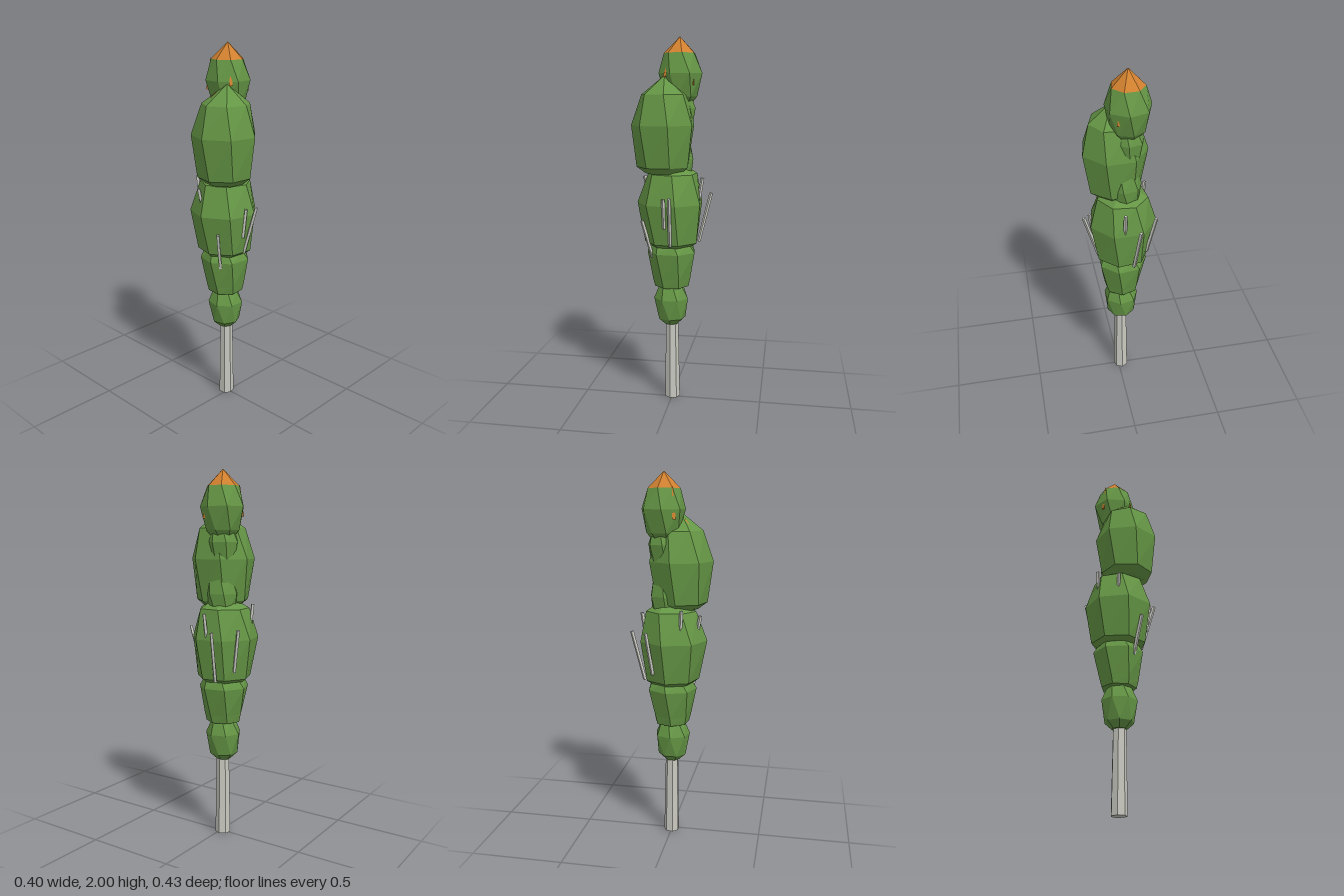
import * as THREE from 'three';

const SIDES = 7;
const mat = (name, color) => {
  const m = new THREE.MeshStandardMaterial({ color, flatShading: true });
  m.name = name;
  return m;
};

// Faceted loft. Each ring: [y, radius, centre x, centre z, start angle in degrees]
function loft(rings) {
  const pos = [];
  const point = ([y, r, cx, cz, deg], i) => {
    const a = THREE.MathUtils.degToRad(deg) + (i / SIDES) * Math.PI * 2;
    return [cx + r * Math.cos(a), y, cz + r * Math.sin(a)];
  };
  for (let k = 0; k < rings.length - 1; k++) {
    const lo = rings[k], up = rings[k + 1];
    for (let i = 0; i < SIDES; i++) {
      const a = point(lo, i), b = point(lo, i + 1), c = point(up, i), d = point(up, i + 1);
      if (lo[1] > 0) pos.push(...a, ...c, ...b);
      if (up[1] > 0) pos.push(...b, ...c, ...d);
    }
  }
  const g = new THREE.BufferGeometry();
  g.setAttribute('position', new THREE.Float32BufferAttribute(pos, 3));
  g.computeVertexNormals();
  return g;
}

// Tapered rod between two points
function rod(from, to, r0, r1, sides) {
  const a = new THREE.Vector3(...from), b = new THREE.Vector3(...to);
  const dir = b.clone().sub(a);
  const g = new THREE.CylinderGeometry(r1, r0, dir.length(), sides);
  g.applyQuaternion(new THREE.Quaternion().setFromUnitVectors(new THREE.Vector3(0, 1, 0), dir.normalize()));
  g.translate(...a.add(b).multiplyScalar(0.5).toArray());
  return g;
}

export function createModel() {
  const tree = new THREE.Group();
  tree.name = 'columnTree';
  const green = mat('leafGreen', 0x659645);
  const orange = mat('autumnOrange', 0xd0802f);
  const grey = mat('barkGrey', 0xc9c9c1);
  const add = (name, geometry, material) => {
    const mesh = new THREE.Mesh(geometry, material);
    mesh.name = name;
    tree.add(mesh);
  };

  // Trunk
  add('trunk', loft([
    [0, 0, -0.015, 0, 10], [0, 0.043, -0.015, 0, 10],
    [0.5, 0.035, -0.013, 0.002, 10], [0.5, 0, -0.013, 0.002, 10],
  ]), grey);

  // Stacked foliage clumps, bottom to top
  const clumps = {
    foliageBase: [
      [0.43, 0, -0.015, 0.005, 0], [0.435, 0.04, -0.015, 0.005, 0], [0.47, 0.078, -0.015, 0.005, 0],
      [0.585, 0.097, -0.015, 0.005, 24], [0.66, 0.065, -0.015, 0.005, 36], [0.7, 0, -0.015, 0.005, 36],
    ],
    foliageLower: [
      [0.64, 0, -0.018, 0.003, 20], [0.655, 0.095, -0.018, 0.003, 20], [0.7, 0.106, -0.018, 0.003, 22],
      [0.85, 0.136, -0.02, 0.002, 30], [0.9, 0.11, -0.02, 0.002, 38], [0.94, 0, -0.02, 0.002, 38],
    ],
    foliageMiddle: [
      [0.87, 0, -0.02, 0.005, 30], [0.885, 0.12, -0.02, 0.005, 30], [0.905, 0.148, -0.02, 0.003, 30],
      [1.12, 0.184, -0.02, 0.01, 36], [1.28, 0.137, -0.02, 0.0, 44], [1.32, 0.07, -0.02, -0.005, 44],
      [1.33, 0, -0.02, -0.005, 44],
    ],
    foliageUpper: [
      [1.27, 0, 0.015, 0.04, 28], [1.285, 0.1, 0.015, 0.04, 28], [1.32, 0.143, 0.017, 0.045, 28],
      [1.54, 0.175, 0.016, 0.043, 35], [1.7, 0.128, 0.02, 0.037, 44], [1.8, 0, 0.028, 0.035, 44],
    ],
    foliageBackLow: [
      [1.24, 0, -0.03, -0.03, 10], [1.26, 0.07, -0.03, -0.03, 10], [1.36, 0.092, -0.025, -0.025, 25],
      [1.45, 0.075, -0.02, -0.025, 35], [1.5, 0, -0.02, -0.025, 35],
    ],
    foliageBackHigh: [
      [1.45, 0, -0.035, -0.035, 5], [1.48, 0.06, -0.035, -0.035, 5], [1.63, 0.085, -0.04, -0.038, 20],
      [1.69, 0.065, -0.04, -0.038, 30], [1.72, 0, -0.04, -0.038, 30],
    ],
    foliageTop: [
      [1.645, 0, -0.04, -0.04, 0], [1.655, 0.06, -0.04, -0.04, 0], [1.69, 0.088, -0.04, -0.04, 5],
      [1.81, 0.119, -0.04, -0.04, 20], [1.915, 0.086, -0.038, -0.036, 36],
    ],
  };
  for (const [name, rings] of Object.entries(clumps)) add(name, loft(rings), green);

  // Coloured tip
  add('crownTip', loft([[1.915, 0.086, -0.038, -0.036, 36], [2, 0, -0.038, -0.036, 36]]), orange);

  // Autumn slivers on the upper clumps
  const slivers = [
    [[-0.048, 1.695, 0.115], [-0.015, 1.76, 0.07]],
    [[0.037, 1.69, 0.137], [0.025, 1.765, 0.075]],
    [[0.046, 1.79, 0.03], [0.034, 1.87, 0.015]],
    [[-0.118, 1.76, 0.03], [-0.105, 1.92, 0.02]],
    [[0.022, 1.75, -0.115], [0.02, 1.8, -0.118]],
  ];
  for (const [a, b] of slivers) add('autumnSliver', rod(a, b, 0.011, 0.002, 3), orange);

  // Bare twigs poking out of the middle
  const twigs = [
    [[0.11, 0.9, -0.008], [0.19, 1.17, -0.015]],
    [[0.13, 1.0, 0.02], [0.153, 1.16, 0.023]],
    [[-0.06, 0.9, -0.14], [-0.08, 1.17, -0.205]],
    [[-0.14, 0.95, -0.08], [-0.182, 1.18, -0.107]],
    [[-0.14, 1.1, 0.065], [-0.155, 1.3, 0.077]],
    [[0.04, 0.82, 0.1], [0.072, 1.03, 0.152]],
    [[-0.05, 1.1, 0.13], [-0.058, 1.26, 0.162]],
    [[-0.008, 1.1, -0.14], [-0.006, 1.26, -0.165]],
  ];
  for (const [a, b] of twigs) add('twig', rod(a, b, 0.01, 0.01, 4), grey);

  return tree;
}
